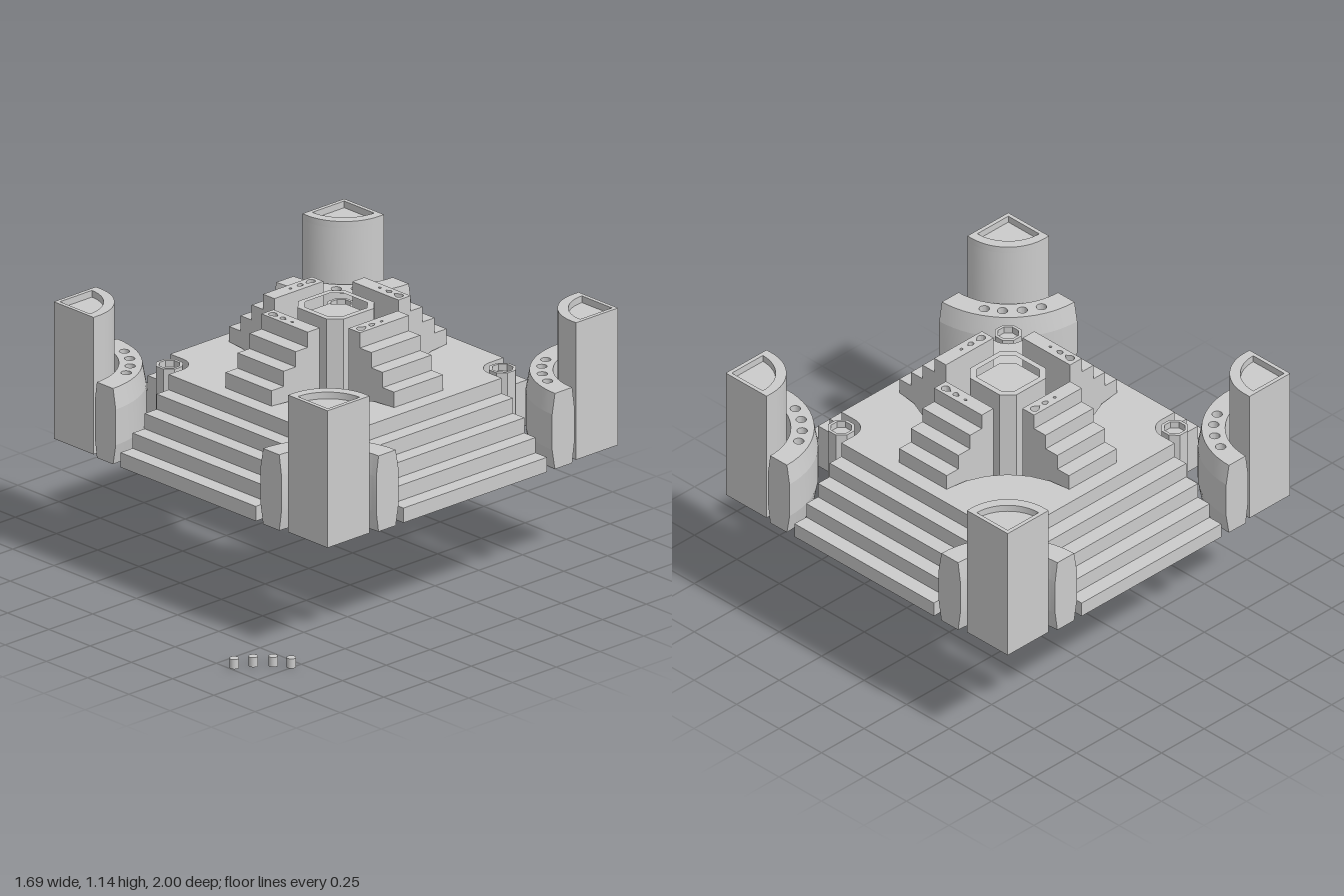
import * as THREE from 'three';
import { toCreasedNormals } from 'three/addons/utils/BufferGeometryUtils.js';

const BASE = 0.525, DECK = 0.865, TOP = 1.14;   // main levels
const RISE = 0.0685, TREAD = 0.0687;            // stair steps
const PI = Math.PI;

const material = new THREE.MeshStandardMaterial({ color: 0xcccccc });
const thin = new THREE.MeshStandardMaterial({ color: 0xcccccc, side: THREE.DoubleSide });
const inside = new THREE.MeshStandardMaterial({ color: 0xcccccc, side: THREE.BackSide });

function add(parent, name, geometry, mat = material) {
  const mesh = new THREE.Mesh(geometry, mat);
  mesh.name = name;
  parent.add(mesh);
  return mesh;
}

// Points on an arc in plan (x, z), angles in degrees
function arc(cx, cz, r, from, to, segments) {
  return Array.from({ length: segments + 1 }, (_, i) => {
    const a = THREE.MathUtils.degToRad(from + (to - from) * i / segments);
    return new THREE.Vector2(cx + r * Math.cos(a), cz + r * Math.sin(a));
  });
}

// Repeats the points of one quarter around the centre
function fourfold(points) {
  const all = [];
  let q = points;
  for (let i = 0; i < 4; i++) {
    all.push(...q);
    q = q.map(p => new THREE.Vector2(p.y, -p.x));
  }
  return all;
}

// Upright prism from a plan outline (x, z) with optional holes
function prism(outline, y0, y1, holes = []) {
  const shape = new THREE.Shape(outline);
  shape.holes = holes.map(h => new THREE.Path(h));
  const g = new THREE.ExtrudeGeometry(shape, { depth: y1 - y0, bevelEnabled: false });
  g.rotateX(PI / 2).translate(0, y1, 0);
  return toCreasedNormals(g, 0.4);
}

// Solid prism whose top is sunk inside a rim
function sunkenPrism(parent, name, outline, inner, y0, floor, y1) {
  add(parent, name, prism(outline, y0, floor));
  add(parent, name + 'Rim', prism(outline, floor, y1, [inner]));
}

// Solid stair going down towards +z
function stair(width, start, topY, treads) {
  const s = new THREE.Shape();
  s.moveTo(start, BASE);
  for (let i = 0; i < treads; i++) {
    s.lineTo(start + i * TREAD, topY - i * RISE);
    s.lineTo(start + (i + 1) * TREAD, topY - i * RISE);
  }
  s.lineTo(start + treads * TREAD, BASE);
  const g = new THREE.ExtrudeGeometry(s, { depth: width, bevelEnabled: false });
  return g.rotateY(-PI / 2).translate(width / 2, 0, 0);
}

function rect(x0, x1, z0, z1) {
  return [[x0, z0], [x1, z0], [x1, z1], [x0, z1]].map(p => new THREE.Vector2(...p));
}

const chamfered = (h, c) => fourfold([new THREE.Vector2(h - c, h), new THREE.Vector2(h, h - c)]);

const PEG_ANGLES = [21, 35, 49, 62];

// Curved bench with bulging walls and peg holes
function curvedBench() {
  const bench = new THREE.Group();
  bench.name = 'curvedBench';
  bench.position.set(0.845, 0, 0.845);
  const profile = [
    [0.292, DECK], [0.279, 0.775], [0.279, 0.615], [0.292, BASE],
    [0.39, BASE], [0.406, 0.615], [0.406, 0.775], [0.39, DECK],
  ].map(p => new THREE.Vector2(...p));
  const walls = new THREE.LatheGeometry(profile, 16, PI, PI / 2);
  add(bench, 'benchWalls', toCreasedNormals(walls, 0.15));
  for (const turn of [PI / 2, PI])
    add(bench, 'benchEnd', new THREE.ShapeGeometry(new THREE.Shape(profile)), thin).rotation.y = turn;

  // Top with peg holes
  const centres = PEG_ANGLES.map(a => arc(0, 0, 0.34, 180 + a, 180 + a, 1)[0]);
  const ring = [...arc(0, 0, 0.39, 180, 270, 16), ...arc(0, 0, 0.292, 270, 180, 16)];
  const holes = centres.map(c => arc(c.x, c.y, 0.022, 0, 345, 23));
  add(bench, 'benchTop', prism(ring, DECK - 0.043, DECK, holes));
  for (const c of centres) {
    const floor = add(bench, 'pegHoleFloor', new THREE.CircleGeometry(0.023, 24));
    floor.rotation.x = -PI / 2;
    floor.position.set(c.x, DECK - 0.0425, c.y);
  }
  return bench;
}

// Inner stair with three drop-shaped hollows in its top tread
function innerStair() {
  const group = new THREE.Group();
  group.name = 'innerStair';
  const start = 0.225, floor = TOP - 0.03, mid = start + TREAD;
  add(group, 'lowerTreads', stair(0.28, mid, TOP - RISE, 3));
  add(group, 'topBlock', prism(rect(-0.14, 0.14, start, mid), BASE, floor));
  const drops = [[-0.105, 0.018], [-0.045, 0.012], [0.012, 0.006]].map(([x, r]) =>
    [...arc(x, 0.262, r, 60, 300, 10), new THREE.Vector2(x + 1.7 * r, 0.262)]);
  add(group, 'topTread', prism(rect(-0.14, 0.14, start, mid), floor, TOP, drops));
  return group;
}

// Quarter-round tower with a sunken top
function tower() {
  const group = new THREE.Group();
  group.name = 'cornerTower';
  const outline = [new THREE.Vector2(0.83, 0.83), new THREE.Vector2(0.59, 0.83),
    ...arc(0.8, 0.8, 0.21, 180, 270, 16), new THREE.Vector2(0.83, 0.59)];
  const inner = [new THREE.Vector2(0.812, 0.812), ...arc(0.812, 0.812, 0.182, 180, 270, 16)];
  sunkenPrism(group, 'tower', outline, inner, BASE, TOP - 0.03, TOP);
  return group;
}

export function createModel() {
  const model = new THREE.Group();
  model.name = 'steppedPlaza';
  const plaza = new THREE.Group();
  plaza.name = 'plaza';
  plaza.position.z = -0.155;
  model.add(plaza);

  // Cross-shaped deck with a star-shaped opening
  const cross = fourfold([new THREE.Vector2(0.41, 0.57),
    ...arc(0.49, 0.49, 0.08, 180, 270, 8), new THREE.Vector2(0.57, 0.41)]);
  const star = fourfold(arc(0.49, 0.49, 0.35, 180, 270, 6));
  add(plaza, 'deck', prism(cross, BASE, DECK, [star]));

  // Centre column with a basin
  sunkenPrism(plaza, 'centreColumn', chamfered(0.137, 0.05), chamfered(0.112, 0.04), BASE, TOP - 0.06, TOP);

  // Each side and its corner, turned four times
  for (let i = 0; i < 4; i++) {
    const quarter = new THREE.Group();
    quarter.name = 'quarter' + (i + 1);
    quarter.rotation.y = i * PI / 2;
    add(quarter, 'outerStair', stair(0.82, 0.57, DECK - RISE, 4));
    quarter.add(innerStair(), tower(), curvedBench());
    sunkenPrism(quarter, 'smallPost', arc(0.49, 0.49, 0.06, 22.5, 337.5, 7),
      arc(0.49, 0.49, 0.046, 22.5, 337.5, 7), BASE, DECK - 0.03, DECK);
    plaza.add(quarter);
  }

  // Loose pegs lying in an arc in front
  for (const a of PEG_ANGLES) {
    const p = arc(0.902, 1.1, 0.34, 180 + a, 180 + a, 1)[0];
    add(model, 'loosePeg', new THREE.CylinderGeometry(0.02, 0.02, 0.043, 24)).position.set(p.x, 0.0215, p.y);
  }
  return model;
}
